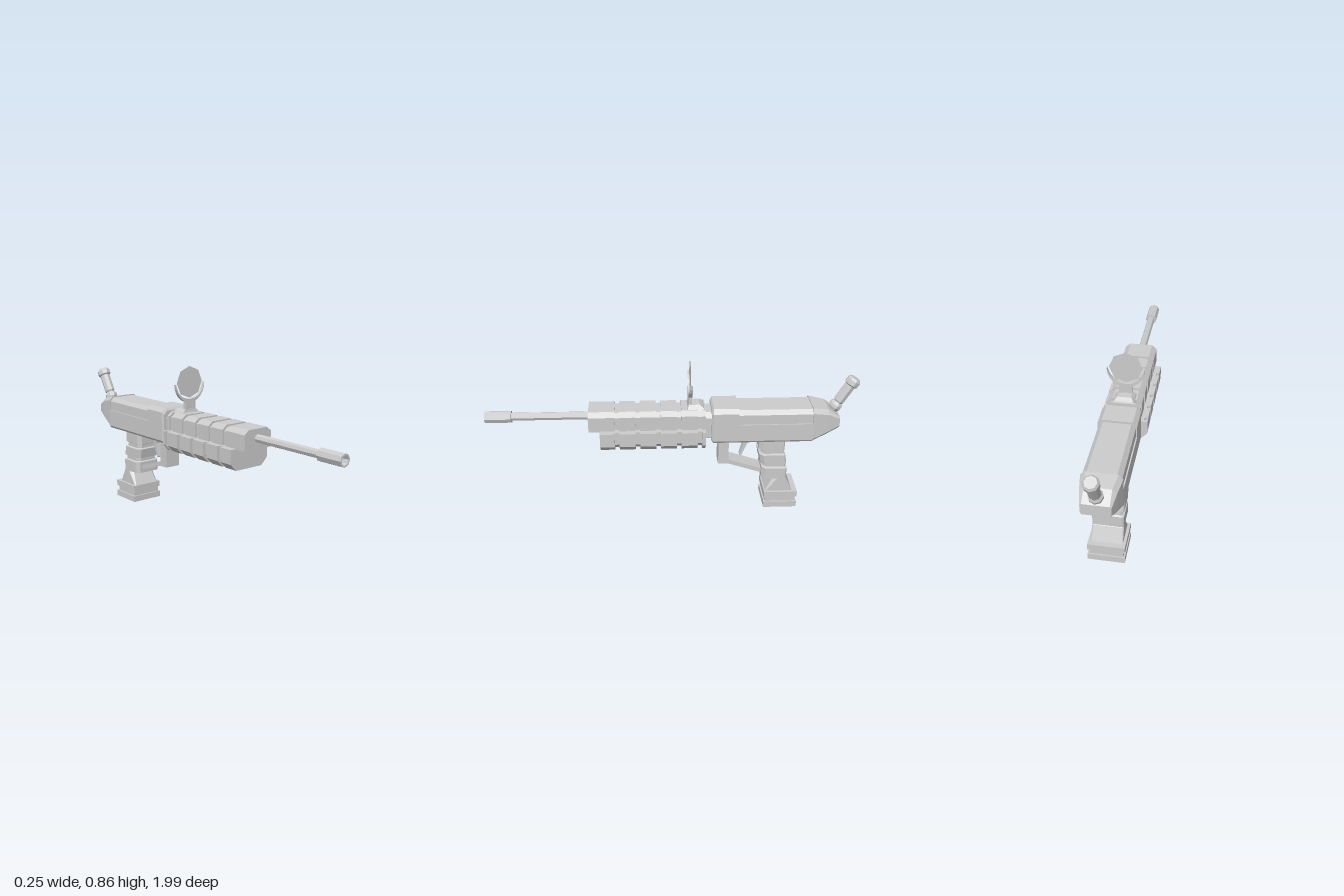
import * as THREE from 'three';

const material = new THREE.MeshStandardMaterial({ color: 0xcccccc, flatShading: true });
const thinMaterial = new THREE.MeshStandardMaterial({ color: 0xcccccc, flatShading: true, side: THREE.DoubleSide });

// Skin between equal-sized rings, ordered along the axis, each counter-clockwise seen from its end
function loft(rings) {
  const pos = [];
  const n = rings[0].length;
  const tri = (a, b, c) => pos.push(...a, ...b, ...c);
  for (let r = 0; r < rings.length - 1; r++) {
    const a = rings[r], b = rings[r + 1];
    for (let i = 0; i < n; i++) {
      const j = (i + 1) % n;
      tri(a[i], a[j], b[j]);
      tri(a[i], b[j], b[i]);
    }
  }
  const first = rings[0], last = rings[rings.length - 1];
  for (let i = 1; i < n - 1; i++) {
    tri(first[0], first[i + 1], first[i]);
    tri(last[0], last[i], last[i + 1]);
  }
  const geo = new THREE.BufferGeometry();
  geo.setAttribute('position', new THREE.Float32BufferAttribute(pos, 3));
  geo.computeVertexNormals();
  return geo;
}

// Chamfered cross-section facing z; chamfers are [width, height] for the top and bottom edges
function section(z, hw, y0, y1, [tx, ty], [bx, by]) {
  return [
    [hw, y0 + by, z], [hw, y1 - ty, z], [hw - tx, y1, z], [tx - hw, y1, z],
    [-hw, y1 - ty, z], [-hw, y0 + by, z], [bx - hw, y0, z], [hw - bx, y0, z],
  ];
}

function prism(z0, z1, ...shape) {
  return loft([section(z0, ...shape), section(z1, ...shape)]);
}

// Side outline given as [z, y], extruded symmetrically across x
function sidePlate(points, hw) {
  const shape = new THREE.Shape(points.map(([z, y]) => new THREE.Vector2(-z, y)));
  const geo = new THREE.ExtrudeGeometry(shape, { depth: hw * 2, bevelEnabled: false });
  return geo.translate(0, 0, -hw).rotateY(Math.PI / 2);
}

function lathe(profile, sides) {
  return new THREE.LatheGeometry(profile.map(([r, y]) => new THREE.Vector2(r, y)), sides);
}

export function createModel() {
  const model = new THREE.Group();
  const add = (name, geo, mat = material) => {
    const mesh = new THREE.Mesh(geo, mat);
    mesh.name = name;
    model.add(mesh);
    return mesh;
  };

  // Barrel and hollow muzzle
  const barrel = add('barrel', new THREE.CylinderGeometry(0.022, 0.022, 0.5, 8));
  barrel.rotation.x = Math.PI / 2;
  barrel.position.set(0, 0.555, 0.64);
  const muzzle = add('muzzle', lathe(
    [[0.02, 0], [0.033, 0], [0.033, 0.14], [0.024, 0.14], [0.022, 0.03], [0, 0.03]], 8), thinMaterial);
  muzzle.rotation.x = Math.PI / 2;
  muzzle.position.set(0, 0.555, 0.86);

  // Handguards: narrower cores carrying rows of ribs
  add('upperHandguardCore', prism(-0.16, 0.44, 0.08, 0.505, 0.595, [0.025, 0.02], [0, 0]));
  add('lowerHandguardCore', prism(-0.16, 0.38, 0.108, 0.402, 0.503, [0, 0], [0.03, 0.03]));
  const grooves = [-0.14, -0.03, 0.08, 0.19, 0.3];
  for (let i = 0; i <= grooves.length; i++) {
    const start = i === 0 ? -0.17 : grooves[i - 1] + 0.0125;
    const end = i < grooves.length ? grooves[i] - 0.0125 : null;
    add('upperRib', prism(start, end ?? 0.45, 0.09, 0.5, 0.605, [0.027, 0.022], [0, 0]));
    add('lowerRib', prism(start, end ?? 0.39, 0.125, 0.39, 0.503, [0, 0], [0.038, 0.037]));
  }

  // Receiver: neck, front collar, recessed middle, tapered tail
  add('neck', prism(-0.22, -0.16, 0.075, 0.44, 0.588, [0.025, 0.025], [0.01, 0.01]));
  const low = [0.008, 0.012];
  add('receiverCollar', loft([
    section(-0.345, 0.1, 0.422, 0.618, [0.022, 0.022], low),
    section(-0.212, 0.1, 0.422, 0.618, [0.022, 0.022], low),
    section(-0.203, 0.09, 0.43, 0.605, [0.022, 0.022], low),
  ]));
  add('receiverTop', prism(-0.75, -0.34, 0.093, 0.43, 0.606, [0.022, 0.022], low));
  add('receiverLower', prism(-0.745, -0.34, 0.1, 0.422, 0.53, [0, 0], low));
  add('receiverTail', loft([
    section(-0.89, 0.072, 0.49, 0.55, [0.008, 0.008], low),
    section(-0.825, 0.086, 0.46, 0.596, [0.022, 0.022], low),
    section(-0.74, 0.1, 0.422, 0.612, [0.022, 0.022], low),
  ]));

  // Tilted rear knob
  const knob = add('rearKnob', lathe([
    [0, -0.03], [0.022, -0.03], [0.036, -0.005], [0.036, 0.012], [0.024, 0.028], [0.03, 0.036],
    [0.03, 0.14], [0.039, 0.147], [0.039, 0.172], [0.03, 0.185], [0, 0.185]], 8), thinMaterial);
  knob.position.set(0, 0.588, -0.873);
  knob.rotation.x = -0.53;

  // Sight: flared base, post, crescent holder and thin lens
  const base = (y, hw, z0, z1) => [[-hw, y, z1], [hw, y, z1], [hw, y, z0], [-hw, y, z0]];
  add('sightBase', loft([
    base(0.595, 0.062, -0.168, -0.072), base(0.612, 0.05, -0.16, -0.078), base(0.625, 0.036, -0.14, -0.08),
  ]));
  const post = new THREE.BoxGeometry(0.02, 0.07, 0.02);
  for (const x of [-0.024, 0.024]) add('sightPost', post).position.set(x, 0.648, -0.09);
  add('sightPostCore', new THREE.BoxGeometry(0.04, 0.06, 0.012)).position.set(0, 0.643, -0.09);
  const crescent = new THREE.Shape();
  for (let i = 0; i <= 12; i++) {
    const a = Math.PI * (1 + i / 12);
    const p = [0.098 * Math.cos(a), 0.105 * Math.sin(a)];
    if (i === 0) crescent.moveTo(...p);
    else crescent.lineTo(...p);
  }
  for (let i = 11; i > 0; i--) {
    const a = Math.PI * (1 + i / 12);
    crescent.lineTo(0.094 * Math.cos(a), 0.086 * Math.sin(a));
  }
  add('sightCrescent', new THREE.ExtrudeGeometry(crescent, { depth: 0.018, bevelEnabled: false }))
    .position.set(0, 0.765, -0.099);
  const lens = add('sightLens', new THREE.CircleGeometry(0.087, 8, Math.PI / 2), thinMaterial);
  lens.position.set(0, 0.772, -0.09);

  // Trigger and its guard
  add('triggerGuard', sidePlate([
    [-0.247, 0.43], [-0.247, 0.262], [-0.303, 0.262], [-0.5, 0.197],
    [-0.5, 0.222], [-0.303, 0.288], [-0.303, 0.43]].reverse(), 0.045));
  add('trigger', sidePlate([
    [-0.38, 0.43], [-0.385, 0.375], [-0.366, 0.3], [-0.376, 0.293],
    [-0.408, 0.375], [-0.41, 0.43]].reverse(), 0.015));

  // Grip: rows of [height, front z, back z, half width]
  const gripRows = [
    [0.09, -0.507, -0.667, 0.08], [0.178, -0.555, -0.627, 0.08], [0.18, -0.487, -0.625, 0.08],
    [0.245, -0.487, -0.625, 0.08], [0.25, -0.497, -0.617, 0.068], [0.268, -0.497, -0.615, 0.068],
    [0.273, -0.48, -0.62, 0.08], [0.328, -0.47, -0.612, 0.08], [0.333, -0.482, -0.605, 0.068],
    [0.354, -0.482, -0.598, 0.068], [0.36, -0.466, -0.604, 0.08], [0.43, -0.466, -0.604, 0.08],
  ];
  add('grip', loft(gripRows.map(([y, f, b, hw], i) => {
    const c = i === 0 ? 0.004 : 0.02;
    return [
      [c - hw, y, f], [hw - c, y, f], [hw, y, f - c], [hw, y, b + c / 3],
      [hw - c / 3, y, b], [c / 3 - hw, y, b], [-hw, y, b + c / 3], [-hw, y, f - c],
    ];
  })));

  // Stepped foot of the grip
  for (const y of [0.0175, 0.0825]) {
    add('gripFootPlate', new THREE.BoxGeometry(0.19, 0.035, 0.185)).position.set(0, y, -0.598);
  }
  add('gripFootCore', new THREE.BoxGeometry(0.172, 0.05, 0.17)).position.set(0, 0.05, -0.598);

  return model;
}
